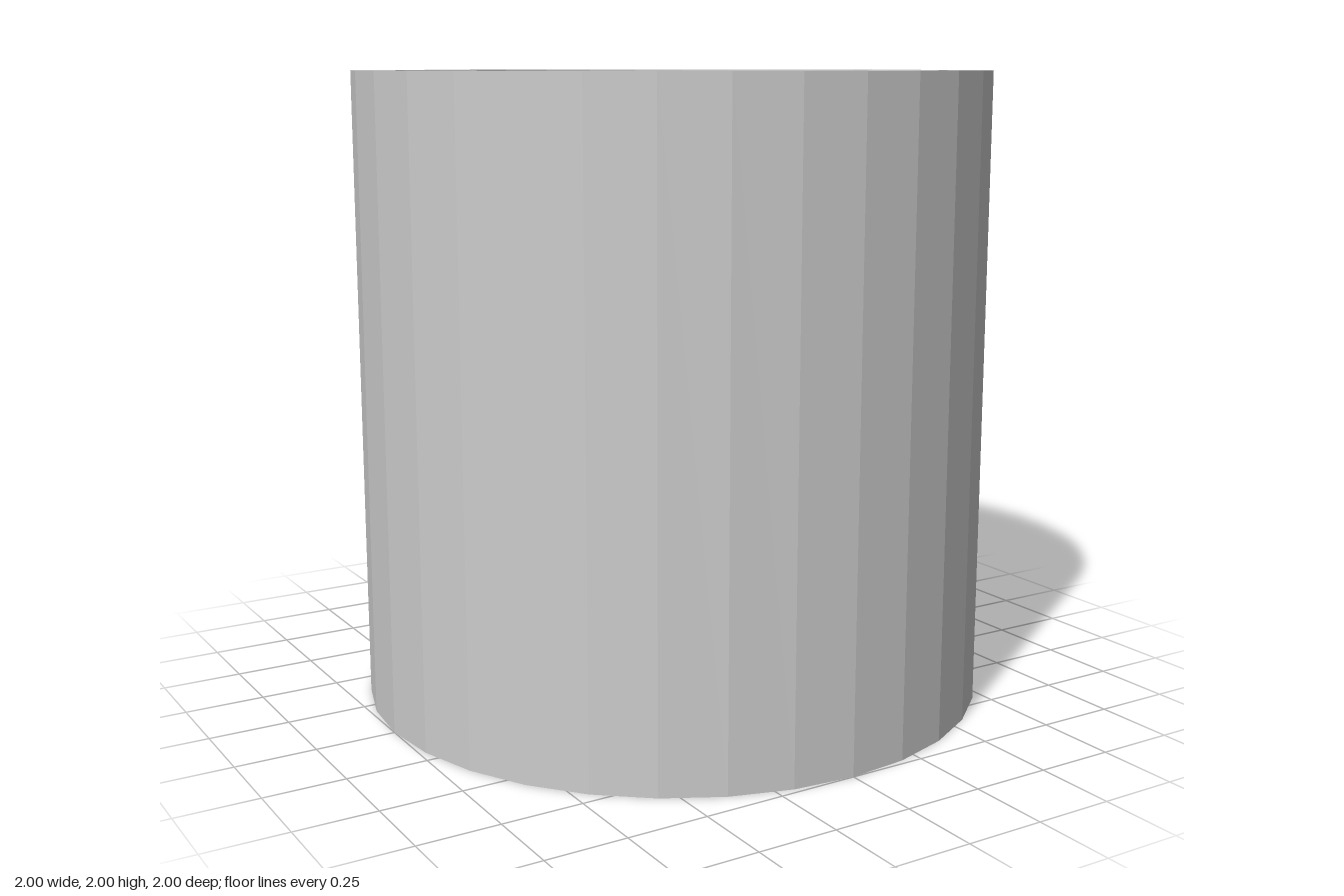
import * as THREE from 'three';

const SIDES = 32;
const RADIUS = 1;
const INNER_RADIUS = 0.863;
const HEIGHT = 2;
const RECESS_DEPTH = 0.133;

export function createModel() {
  const model = new THREE.Group();
  model.name = 'recessedCylinder';

  const material = new THREE.MeshStandardMaterial({ color: 0xcccccc, flatShading: true });
  const floorY = HEIGHT - RECESS_DEPTH;

  function addPart(name, geometry, y) {
    const mesh = new THREE.Mesh(geometry, material);
    mesh.name = name;
    mesh.position.y = y;
    model.add(mesh);
  }

  // Outer wall, flat rim and inner wall of the recess, from the bottom up and over
  const profile = [
    [RADIUS, 0],
    [RADIUS, HEIGHT],
    [INNER_RADIUS, HEIGHT],
    [INNER_RADIUS, floorY],
  ].map(([r, y]) => new THREE.Vector2(r, y));
  const shell = new THREE.LatheGeometry(profile, SIDES).toNonIndexed();
  shell.computeVertexNormals();
  addPart('wallAndRim', shell, 0);

  // Floor of the shallow recess
  addPart('recessFloor', new THREE.CircleGeometry(INNER_RADIUS, SIDES).rotateX(-Math.PI / 2), floorY);

  // Closed underside
  addPart('base', new THREE.CircleGeometry(RADIUS, SIDES).rotateX(Math.PI / 2), 0);

  return model;
}
